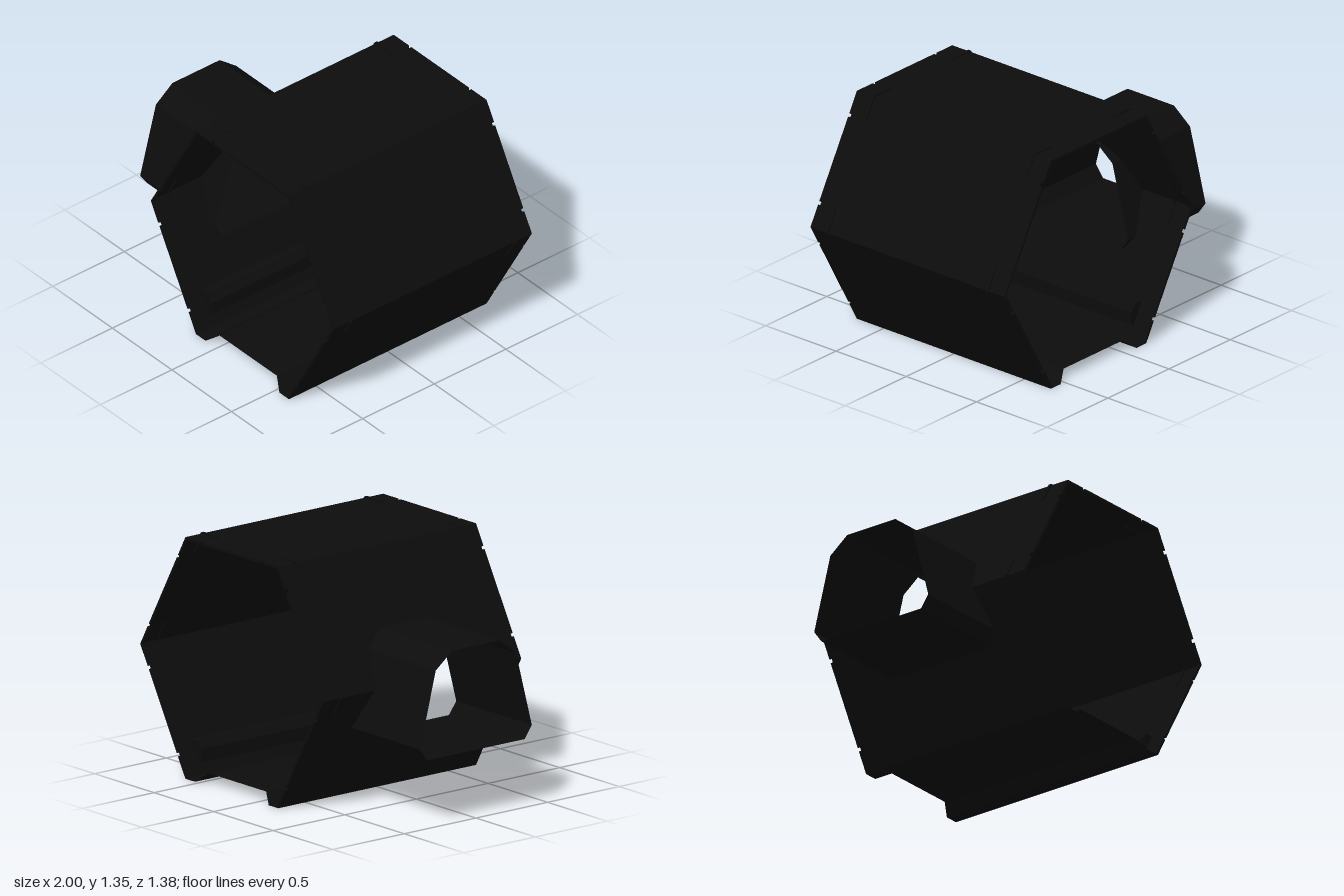
import * as THREE from 'three';

const material = new THREE.MeshStandardMaterial({ color: 0x0c0c0c, side: THREE.DoubleSide, flatShading: true });
const MID = 0.22;   // x of the hall's centre line
const END = 0.69;   // half length of the hall
const RIM = 0.015;  // rim depth and thickness

// Hexagon corners, counter-clockwise from the right foot round to the left foot
const corners = [[0.61, 0], [0.99, 0.672], [0.61, 1.345], [-0.17, 1.345], [-0.55, 0.672], [-0.17, 0]]
  .map(([x, y]) => new THREE.Vector2(x, y));

// Half outline of the side passage as [z, y], from top to bottom
const passageHalf = [[0.165, 0.96], [0.28, 0.87], [0.39, 0.45], [0.34, 0.38]];
const waist = [0.332, 0.672];

export function createModel() {
  const model = new THREE.Group();
  const add = (name, geometry, parent = model) => {
    const mesh = new THREE.Mesh(geometry, material);
    mesh.name = name;
    parent.add(mesh);
    return mesh;
  };

  // Open sheet lofted between two rows of points
  const sheet = (rowA, rowB) => {
    const pos = [];
    for (let i = 0; i < rowA.length - 1; i++) {
      const [a, b, c, d] = [rowA[i], rowA[i + 1], rowB[i + 1], rowB[i]];
      pos.push(...a, ...b, ...c, ...a, ...c, ...d);
    }
    const g = new THREE.BufferGeometry();
    g.setAttribute('position', new THREE.Float32BufferAttribute(pos, 3));
    g.computeVertexNormals();
    return g;
  };

  for (let i = 0; i < 5; i++) {
    const a = corners[i], b = corners[i + 1];
    const length = a.distanceTo(b);
    const dir = b.clone().sub(a).normalize();
    const frame = new THREE.Group();
    frame.name = 'wallPanel' + (i + 1);
    // Local axes: x along the edge, y along the hall, z outward
    frame.applyMatrix4(new THREE.Matrix4().makeBasis(
      new THREE.Vector3(dir.x, dir.y, 0), new THREE.Vector3(0, 0, 1), new THREE.Vector3(dir.y, -dir.x, 0)
    ).setPosition(a.x, a.y, 0));
    model.add(frame);

    // Wall sheet; the two walls on the passage side are notched around its mouth
    const h = END - RIM;
    const along = ([z, y]) => [(y - a.y) / dir.y, z];
    let notch = [];
    if (i === 3) notch = [passageHalf[0], passageHalf[1], waist].map(along);
    if (i === 4) notch = [passageHalf[3], passageHalf[2], waist].map(along);
    const outline = [[0, -h], [length, -h]];
    if (i === 3) {
      outline.push(...notch.slice().reverse().map(([s, z]) => [s, -z]), ...notch);
    }
    outline.push([length, h], [0, h]);
    if (i === 4) {
      outline.push(...notch.slice().reverse(), ...notch.map(([s, z]) => [s, -z]));
    }
    // Put the notch on the edge shared by both walls
    if (i === 3) {
      const top = notch.map(([s, z]) => [s, -z]);
      outline.splice(0, outline.length, [0, -h], [length, -h], ...top.slice().reverse(), ...notch, [length, h], [0, h]);
    }
    if (i === 4) {
      const low = notch.slice().reverse();
      outline.splice(0, outline.length, [0, -h], [length, -h], [length, h], [0, h],
        ...low, ...notch.map(([s, z]) => [s, -z]));
    }
    add('wall', new THREE.ShapeGeometry(new THREE.Shape(outline.map(p => new THREE.Vector2(...p)))), frame);

    // Rim strips with narrow gaps, and raised ribs near the corners
    for (const side of [-1, 1]) {
      for (const [f0, f1] of [[0, 0.165], [0.19, 0.81], [0.835, 1]]) {
        const rim = add('rimStrip', new THREE.BoxGeometry((f1 - f0) * length, RIM, RIM), frame);
        rim.position.set((f0 + f1) / 2 * length, side * (END - RIM / 2), -RIM / 2);
        if (f1 - f0 > 0.5) continue;
        if ((i === 0 && f0 === 0) || (i === 4 && f1 === 1)) continue;
        const rib = add('cornerRib', new THREE.BoxGeometry((f1 - f0) * length, RIM, 0.016), frame);
        rib.position.set((f0 + f1) / 2 * length, side * 0.57, 0);
      }
    }
  }

  // Floor with flat feet and a raised deck
  const floor = [[-0.17, 0, END], [-0.09, 0, END], [-0.02, 0.055, 0.65],
    [0.46, 0.055, 0.65], [0.53, 0, END], [0.61, 0, END]];
  add('floor', sheet(floor, floor.map(([x, y, z]) => [x, y, -z])));

  // Rails along the foot of both lower walls
  const railOutline = [[-0.27, 0.18], [-0.22, 0.18], [-0.185, 0.14], [-0.185, 0.065], [-0.205, 0.06]];
  for (const side of [1, -1]) {
    const shape = new THREE.Shape(railOutline.map(([x, y]) => new THREE.Vector2(MID + side * (x - MID), y)));
    const rail = add(side > 0 ? 'rightRail' : 'leftRail',
      new THREE.ExtrudeGeometry(shape, { depth: 1.14, bevelEnabled: false }));
    rail.position.z = -0.57;
  }

  // Side passage, open at both ends
  const ring = [...passageHalf, ...passageHalf.slice().reverse().map(([z, y]) => [-z, y]), passageHalf[0]];
  add('sidePassage', sheet(ring.map(([z, y]) => [-1, y, z]), ring.map(([z, y]) => [-0.365, y, z])));

  return model;
}
